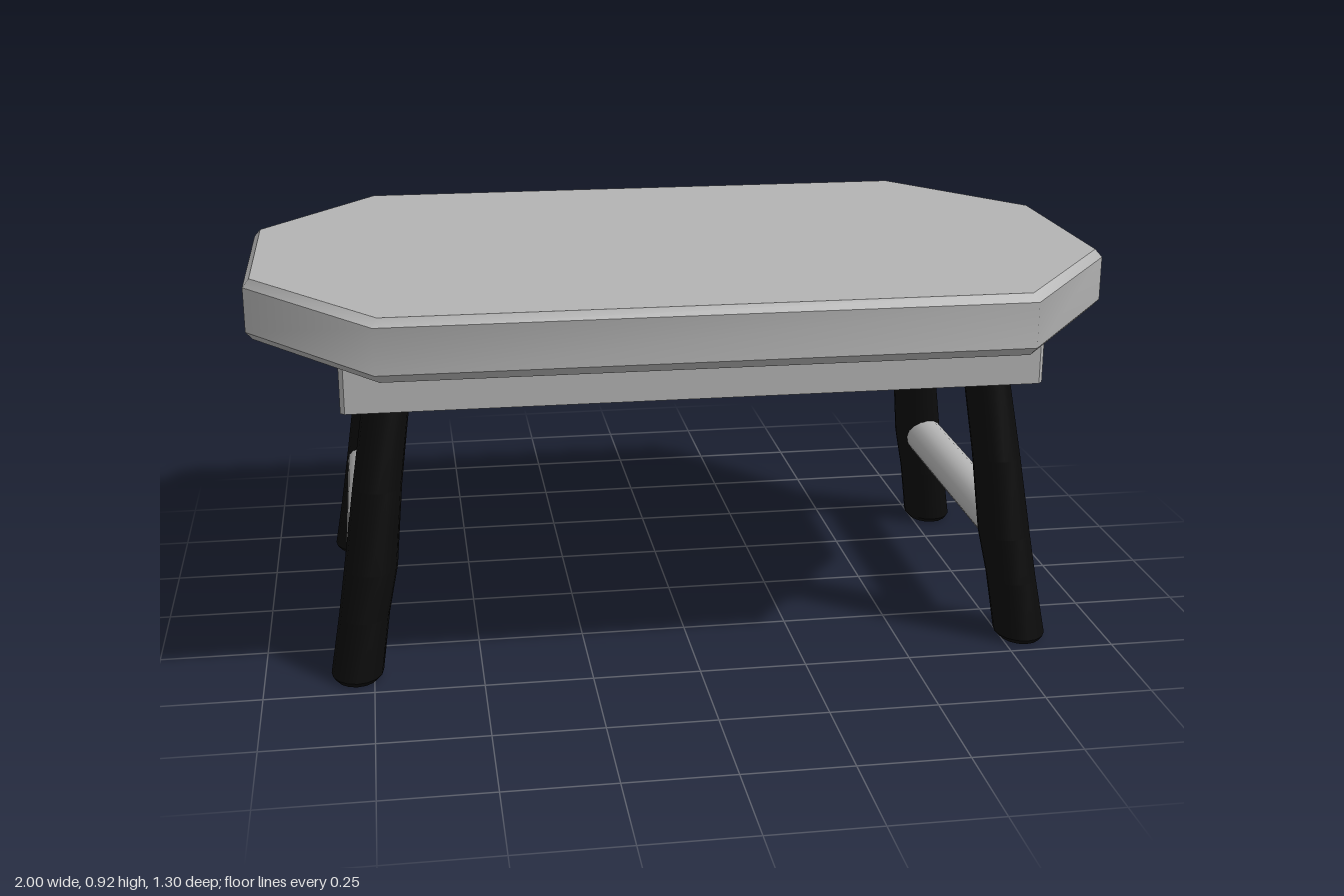
import * as THREE from 'three';

const grey = new THREE.MeshStandardMaterial({ color: 0xb3b3b3 });
grey.name = 'light grey';
const black = new THREE.MeshStandardMaterial({ color: 0x0b0b0b });
black.name = 'black';

// Closed solid through rings [{ y, pts: [[x, z], ...] }], smooth around, creased between bands
function loft(rings) {
  const pos = [], index = [], n = rings[0].pts.length;
  const addRing = ({ y, pts }) => {
    const start = pos.length / 3;
    for (const [x, z] of pts) pos.push(x, y, z);
    return start;
  };
  for (let r = 0; r < rings.length - 1; r++) {
    const lo = addRing(rings[r]), hi = addRing(rings[r + 1]);
    for (let i = 0; i < n; i++) {
      const j = (i + 1) % n;
      index.push(lo + i, hi + i, lo + j, lo + j, hi + i, hi + j);
    }
  }
  const bottom = addRing(rings[0]), top = addRing(rings[rings.length - 1]);
  for (let i = 1; i < n - 1; i++) {
    index.push(bottom, bottom + i, bottom + i + 1, top, top + i + 1, top + i);
  }
  const geo = new THREE.BufferGeometry();
  geo.setAttribute('position', new THREE.Float32BufferAttribute(pos, 3));
  geo.setIndex(index);
  geo.computeVertexNormals();
  return geo;
}

// Rectangle w x d (half sizes) with its corners cut by cx, cz
const cutRect = (w, d, cx, cz) => [
  [w, -d + cz], [w, d - cz], [w - cx, d], [-w + cx, d],
  [-w, d - cz], [-w, -d + cz], [-w + cx, -d], [w - cx, -d],
];

const ellipse = (cx, cz, rx, rz, n = 16) => Array.from({ length: n }, (_, i) => {
  const a = (i / n) * Math.PI * 2;
  return [cx + rx * Math.cos(a), cz + rz * Math.sin(a)];
});

function add(parent, name, geo, material) {
  const mesh = new THREE.Mesh(geo, material);
  mesh.name = name;
  parent.add(mesh);
  return mesh;
}

export function createModel() {
  const table = new THREE.Group();
  table.name = 'table';

  // Octagonal top with bevelled rims
  const outer = cutRect(1, 0.65, 0.285, 0.387);
  const inner = cutRect(0.985, 0.635, 0.28, 0.38);
  add(table, 'tableTop', loft([
    { y: 0.775, pts: inner }, { y: 0.794, pts: outer },
    { y: 0.897, pts: outer }, { y: 0.915, pts: inner },
  ]), grey);

  const base = new THREE.Group();
  base.name = 'base';
  base.position.set(0.005, 0, -0.005);
  table.add(base);

  // Solid apron with slightly trimmed corners
  const apronPts = cutRect(0.8, 0.457, 0.01, 0.01);
  const apron = loft([{ y: 0.65, pts: apronPts }, { y: 0.78, pts: apronPts }]).toNonIndexed();
  apron.computeVertexNormals();
  add(base, 'apron', apron, grey);

  // Splayed legs: [height, centre x, centre z, radius x, radius z]
  const sections = [
    [0, 0.794, 0.411, 0.05, 0.062],
    [0.012, 0.793, 0.41, 0.06, 0.072],
    [0.15, 0.771, 0.395, 0.058, 0.07],
    [0.26, 0.751, 0.384, 0.061, 0.068],
    [0.45, 0.728, 0.364, 0.056, 0.065],
    [0.67, 0.696, 0.341, 0.053, 0.06],
  ];
  for (const sx of [1, -1]) {
    for (const sz of [1, -1]) {
      const name = (sz > 0 ? 'front' : 'back') + (sx > 0 ? 'Left' : 'Right') + 'Leg';
      const rings = sections.map(([y, x, z, rx, rz]) => ({ y, pts: ellipse(sx * x, sz * z, rx, rz) }));
      add(base, name, loft(rings), black);
    }
    // Round stretcher joining the two legs at this end
    const bar = new THREE.CylinderGeometry(0.05, 0.05, 0.73, 16).rotateX(Math.PI / 2);
    add(base, sx > 0 ? 'leftStretcher' : 'rightStretcher', bar, grey).position.set(sx * 0.758, 0.26, 0);
  }
  return table;
}
